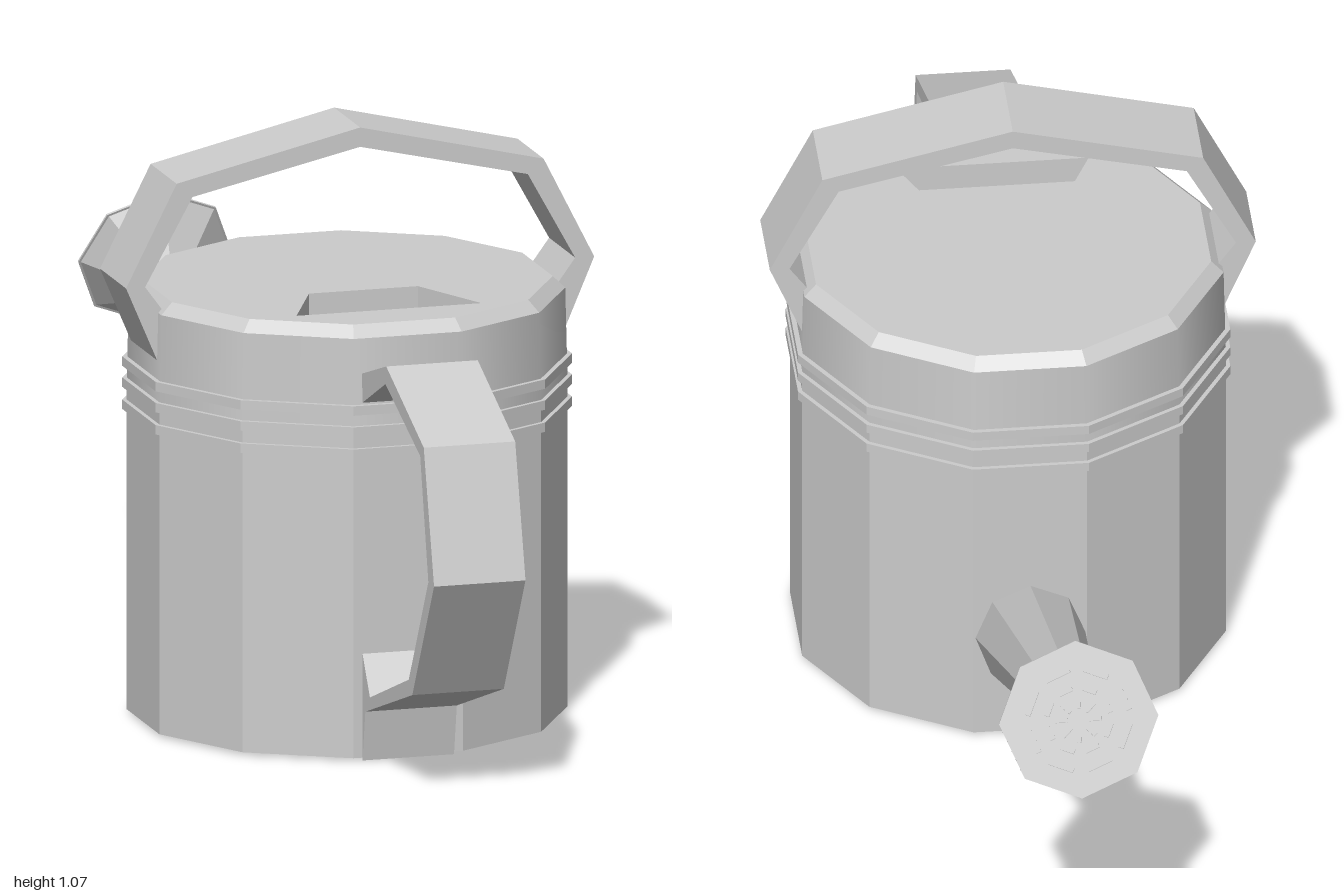
import * as THREE from 'three';

const SIDES = 12, R = 0.388, YAW = THREE.MathUtils.degToRad(16.5);
const flat = new THREE.MeshStandardMaterial({ color: 0xcccccc, flatShading: true, side: THREE.DoubleSide });
const smooth = new THREE.MeshStandardMaterial({ color: 0xcccccc, side: THREE.DoubleSide });

function part(parent, name, geometry, material = flat) {
  const mesh = new THREE.Mesh(geometry, material);
  mesh.name = name;
  parent.add(mesh);
  return mesh;
}

// Twelve-sided drum between two heights, with a flat side facing front
function drum(rTop, rBottom, y0, y1, open = false) {
  return new THREE.CylinderGeometry(rTop, rBottom, y1 - y0, SIDES, 1, open, Math.PI / SIDES)
    .translate(0, (y0 + y1) / 2, 0);
}

const toShape = pts => new THREE.Shape(pts.map(p => new THREE.Vector2(...p)));

function polygon(radius, sides, start) {
  return Array.from({ length: sides }, (_, i) => {
    const a = start + i * 2 * Math.PI / sides;
    return [radius * Math.cos(a), radius * Math.sin(a)];
  });
}

// Bent strap: the area between an outer and an inner line, given a width
function strap(outer, inner, width) {
  const shape = toShape([...outer, ...[...inner].reverse()]);
  return new THREE.ExtrudeGeometry(shape, { depth: width, bevelEnabled: false })
    .translate(0, 0, -width / 2);
}

// Completes a half line that ends on the centre line
const mirrored = half => [...half, ...half.slice(0, -1).reverse().map(([x, y]) => [-x, y])];

// Rectangular slot at a given radius and angle of the sprinkler face
function slot(radius, angle, radial, tangential) {
  const c = Math.cos(angle), s = Math.sin(angle);
  const corners = [[-1, -1], [-1, 1], [1, 1], [1, -1]].map(([i, j]) => {
    const u = radius + i * radial / 2, v = j * tangential / 2;
    return new THREE.Vector2(u * c - v * s, u * s + v * c);
  });
  return new THREE.Path(corners);
}

function addBody(can) {
  part(can, 'body', drum(R, R, 0.005, 0.6));
  part(can, 'neck', drum(R - 0.004, R, 0.6, 0.762, true), smooth);
  part(can, 'rimBevel', drum(0.362, R - 0.004, 0.762, 0.783, true));
  for (const y of [0.548, 0.588, 0.626]) part(can, 'bodyBand', drum(R + 0.008, R + 0.008, y, y + 0.017));

  // Lid with a recessed filling opening behind the strap
  const opening = [[-0.17, -0.257], [-0.1, -0.1], [0.1, -0.1], [0.17, -0.257]];
  const lid = toShape(polygon(0.362, SIDES, Math.PI / SIDES));
  lid.holes.push(toShape(opening));
  part(can, 'lid', new THREE.ExtrudeGeometry(lid, { depth: 0.05, bevelEnabled: false })
    .rotateX(-Math.PI / 2).translate(0, 0.733, 0));
  part(can, 'openingFloor', new THREE.ShapeGeometry(toShape(opening))
    .rotateX(-Math.PI / 2).translate(0, 0.735, 0));
}

function addHandles(can) {
  // Carrying handle arching over the lid
  part(can, 'carryingHandle', strap(
    mirrored([[-0.366, 0.66], [-0.43, 0.81], [-0.337, 0.993], [0, 1.072]]),
    mirrored([[-0.362, 0.765], [-0.395, 0.81], [-0.308, 0.967], [0, 1.037]]),
    0.16));

  // Pouring handle, with flared ends against the body
  part(can, 'pouringHandle', strap(
    [[0.36, 0.695], [0.52, 0.745], [0.75, 0.65], [0.813, 0.413], [0.68, 0.187], [0.392, 0.092], [0.375, 0]],
    [[0.36, 0.64], [0.515, 0.712], [0.728, 0.63], [0.778, 0.413], [0.658, 0.21], [0.42, 0.124], [0.37, 0.2]],
    0.168).rotateY(-Math.PI / 2));
}

function addSpout(can) {
  // Built along +z, with z = 0 at the sprinkler face
  const spout = new THREE.Group();
  spout.name = 'spout';
  const tube = (r0, z0, r1, z1) => new THREE.CylinderGeometry(r1, r0, z1 - z0, 8, 1, true)
    .rotateX(Math.PI / 2).translate(0, 0, (z0 + z1) / 2);
  part(spout, 'spoutTube', tube(0.101, -0.94, 0.047, -0.08));
  part(spout, 'sprinklerHead', tube(0.047, -0.085, 0.141, 0));

  // Sprinkler face with rings of slots, closed just behind
  const face = toShape(polygon(0.141, 8, 0));
  for (let k = 0; k < 8; k++) {
    const a = (k + 0.5) * Math.PI / 4;
    face.holes.push(slot(0.088, a, 0.01, 0.046));
    face.holes.push(slot(0.056, a, 0.01, 0.026));
    face.holes.push(slot(0.03, k * Math.PI / 4, 0.022, 0.008));
  }
  part(spout, 'sprinklerFace', new THREE.ExtrudeGeometry(face, { depth: 0.004, bevelEnabled: false })
    .translate(0, 0, -0.004));
  part(spout, 'sprinklerBacking', new THREE.ShapeGeometry(toShape(polygon(0.116, 8, 0)))
    .translate(0, 0, -0.02));

  spout.position.set(0, 0.556, -1.18);
  spout.rotation.set(-THREE.MathUtils.degToRad(23.6), Math.PI, 0, 'YXZ');
  can.add(spout);
}

export function createModel() {
  const model = new THREE.Group();
  model.name = 'wateringCan';
  const can = new THREE.Group();
  can.name = 'can';
  addBody(can);
  addHandles(can);
  addSpout(can);
  can.rotation.y = YAW;
  can.position.set(0.012, 0, 0.197);
  model.add(can);
  return model;
}
